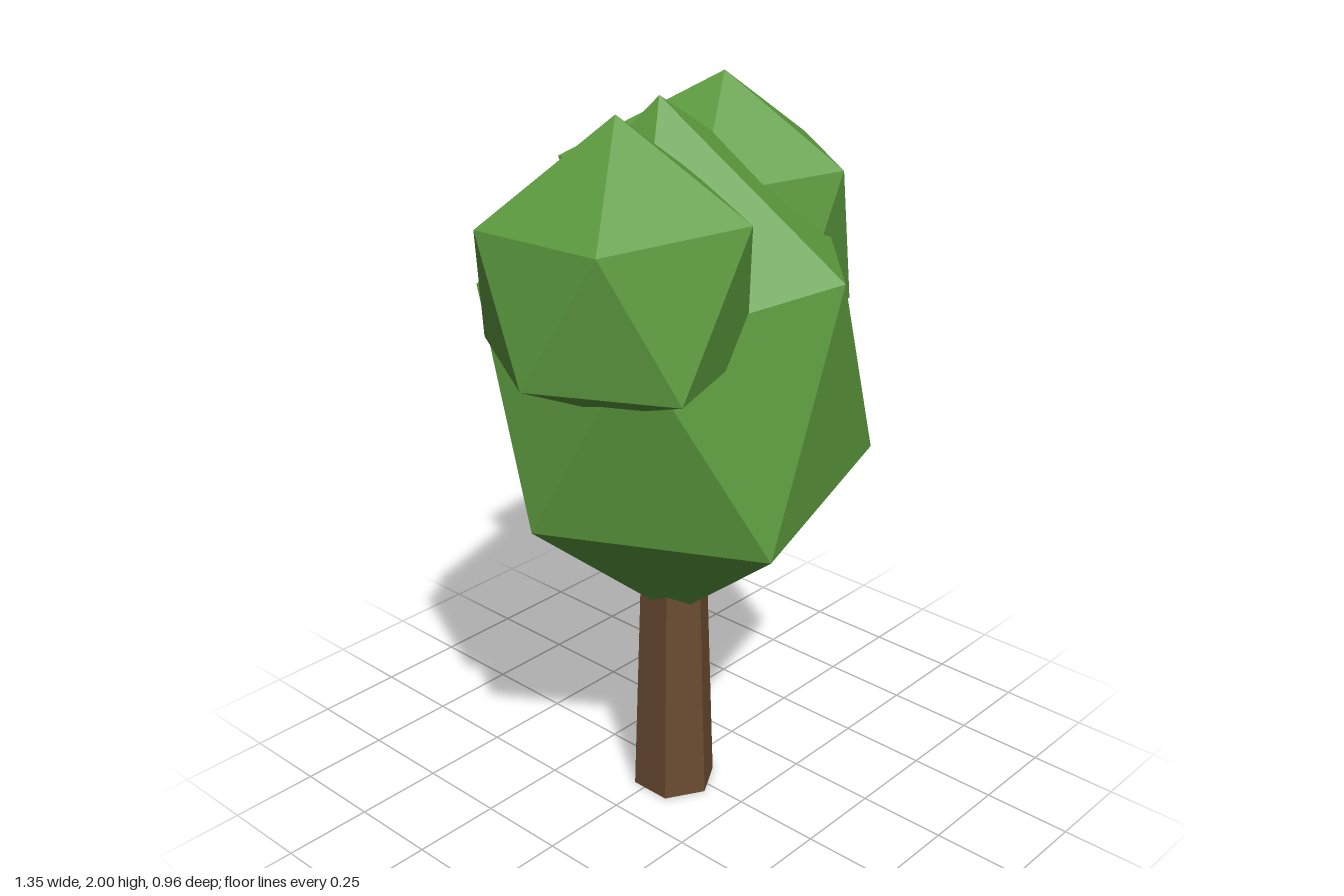
import * as THREE from 'three';

// Faceted leaf clump: top point, upper ring, lower ring, bottom point.
// Rings run from +x towards +z; lower[i] sits between upper[i] and upper[i + 1].
function clump(name, material, { top, upper, lower, bottom }) {
  const pos = [];
  const n = upper.length;
  for (let i = 0; i < n; i++) {
    const j = (i + 1) % n;
    pos.push(
      ...top, ...upper[j], ...upper[i],
      ...upper[j], ...lower[i], ...upper[i],
      ...upper[j], ...lower[j], ...lower[i],
      ...lower[j], ...bottom, ...lower[i]
    );
  }
  const geo = new THREE.BufferGeometry();
  geo.setAttribute('position', new THREE.Float32BufferAttribute(pos, 3));
  geo.computeVertexNormals();
  const mesh = new THREE.Mesh(geo, material);
  mesh.name = name;
  return mesh;
}

export function createModel() {
  const group = new THREE.Group();
  group.name = 'tree';

  const leafGreen = new THREE.MeshStandardMaterial({ color: 0x5c9a3e, flatShading: true });
  leafGreen.name = 'leaf green';
  const barkBrown = new THREE.MeshStandardMaterial({ color: 0x6b4c31, flatShading: true });
  barkBrown.name = 'bark brown';

  // Tapered six-sided trunk
  const trunk = new THREE.Mesh(new THREE.CylinderGeometry(0.094, 0.118, 0.7, 6), barkBrown);
  trunk.name = 'trunk';
  trunk.position.set(-0.032, 0.35, 0.022);
  group.add(trunk);

  // Large central crown
  group.add(clump('mainCrown', leafGreen, {
    top: [-0.06, 1.98, 0],
    upper: [[0.53, 1.59, 0.05], [0.09, 1.57, 0.47], [-0.45, 1.51, 0.28], [-0.41, 1.52, -0.30], [0.17, 1.51, -0.48]],
    lower: [[0.37, 1.02, 0.37], [-0.18, 0.92, 0.48], [-0.53, 0.97, 0], [-0.18, 1.02, -0.47], [0.40, 1.02, -0.31]],
    bottom: [-0.03, 0.54, 0.02],
  }));

  // Smaller clump on the -x side, towards the front
  group.add(clump('rightClump', leafGreen, {
    top: [-0.335, 2.0, 0.12],
    upper: [[-0.06, 1.81, 0.11], [-0.25, 1.79, 0.46], [-0.60, 1.765, 0.315], [-0.625, 1.76, -0.05], [-0.19, 1.78, -0.21]],
    lower: [[-0.12, 1.42, 0.34], [-0.46, 1.41, 0.44], [-0.675, 1.43, 0.14], [-0.47, 1.42, -0.21], [-0.10, 1.42, -0.08]],
    bottom: [-0.37, 1.28, 0.13],
  }));

  // Smaller clump on the +x side, towards the back
  group.add(clump('leftClump', leafGreen, {
    top: [0.25, 1.985, -0.06],
    upper: [[0.67, 1.74, -0.125], [0.36, 1.755, 0.25], [-0.02, 1.74, 0.10], [-0.065, 1.77, -0.355], [0.355, 1.76, -0.42]],
    lower: [[0.53, 1.35, 0.16], [0.17, 1.35, 0.24], [-0.06, 1.36, -0.10], [0.14, 1.34, -0.40], [0.56, 1.36, -0.29]],
    bottom: [0.28, 1.21, -0.12],
  }));

  return group;
}
